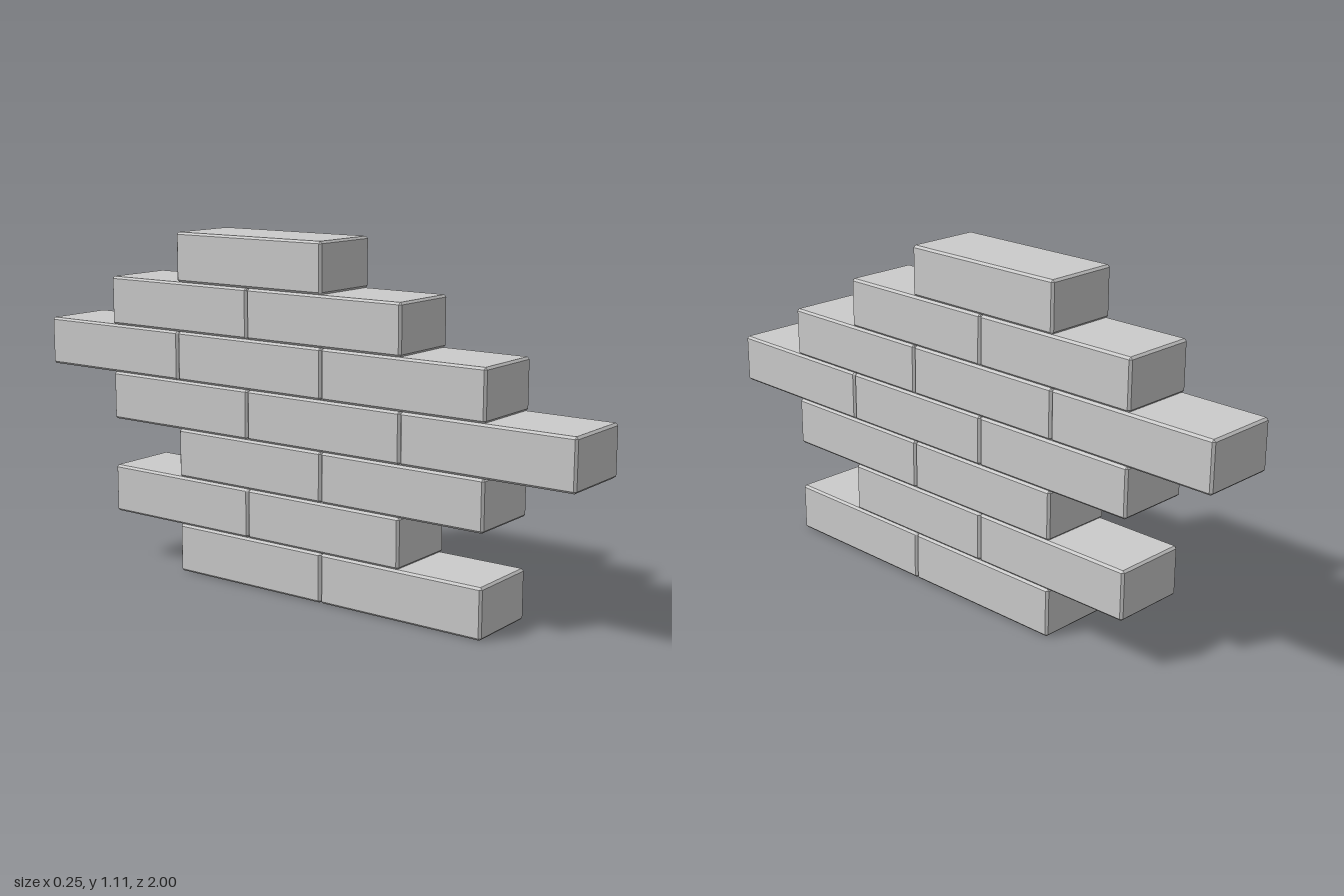
import * as THREE from 'three';
import { ConvexGeometry } from 'three/addons/geometries/ConvexGeometry.js';

const LENGTH = 2 / 3.5;
const HEIGHT = 1.11 / 7;
const WIDTH = 0.248;
const BEVEL = 0.007;

// Box with all edges chamfered: every corner becomes three points
function brickGeometry() {
  const half = [WIDTH / 2, HEIGHT / 2, LENGTH / 2];
  const points = [];
  for (const sx of [-1, 1]) for (const sy of [-1, 1]) for (const sz of [-1, 1]) {
    const sign = [sx, sy, sz];
    for (let outer = 0; outer < 3; outer++) {
      points.push(new THREE.Vector3(
        ...half.map((h, axis) => sign[axis] * (axis === outer ? h : h - BEVEL))));
    }
  }
  return new ConvexGeometry(points);
}

export function createModel() {
  const wall = new THREE.Group();
  wall.name = 'brickWall';
  const geometry = brickGeometry();
  const material = new THREE.MeshStandardMaterial({ color: 0xcccccc, flatShading: true });

  // Courses from the bottom up: front end (in half bricks back from z = 1), brick count
  const courses = [[1, 2], [2, 2], [1, 2], [0, 3], [1, 3], [2, 2], [3, 1]];
  courses.forEach(([offset, count], row) => {
    const course = new THREE.Group();
    course.name = `course${row + 1}`;
    course.position.y = (row + 0.5) * HEIGHT;
    for (let i = 0; i < count; i++) {
      const brick = new THREE.Mesh(geometry, material);
      brick.name = `brick${i + 1}`;
      brick.position.z = 1 - (offset / 2 + i + 0.5) * LENGTH;
      course.add(brick);
    }
    wall.add(course);
  });
  return wall;
}
